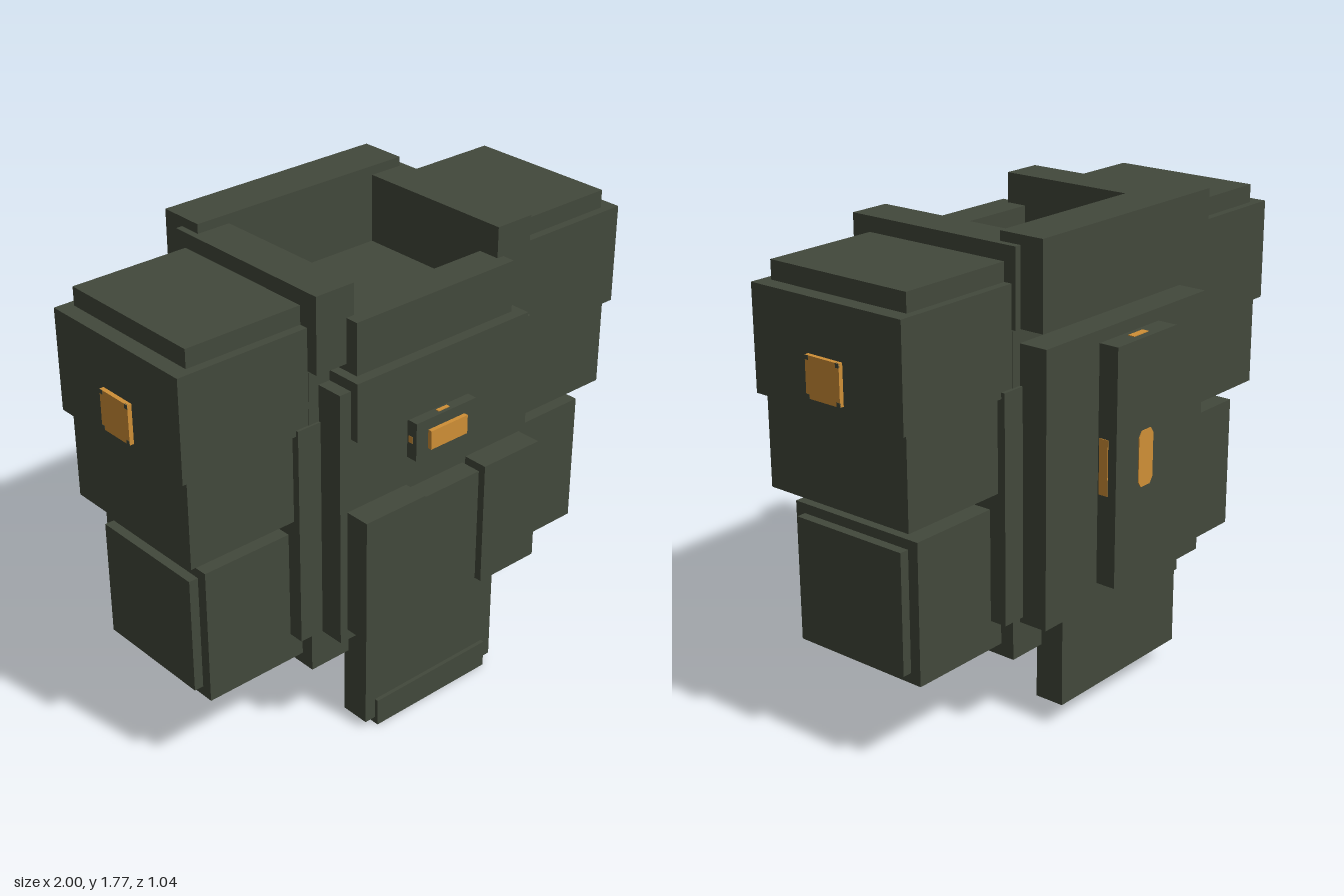
import * as THREE from 'three';

export function createModel() {
  const model = new THREE.Group();
  model.name = 'paddedSuit';

  const cloth = new THREE.MeshStandardMaterial({ color: 0x42483b });
  cloth.name = 'darkOliveCloth';
  const amber = new THREE.MeshStandardMaterial({ color: 0xcf8f36 });
  amber.name = 'amberPanel';

  // Box given by its extents along each axis
  function box(name, [x0, x1], [y0, y1], [z0, z1], material = cloth) {
    const mesh = new THREE.Mesh(new THREE.BoxGeometry(x1 - x0, y1 - y0, z1 - z0), material);
    mesh.position.set((x0 + x1) / 2, (y0 + y1) / 2, (z0 + z1) / 2);
    mesh.name = name;
    model.add(mesh);
    return mesh;
  }

  // The same box on the left (+x) and the right
  function pair(name, [x0, x1], y, z, material) {
    box(name + 'Left', [x0, x1], y, z, material);
    box(name + 'Right', [-x1, -x0], y, z, material);
  }

  // Torso
  box('torso', [-0.477, 0.477], [0.29, 1.48], [-0.33, 0.32]);
  box('waistBand', [-0.53, 0.53], [0.44, 1.262], [-0.342, 0.328]);
  box('chestPlate', [-0.435, 0.435], [0.438, 1.395], [0.3, 0.422]);
  box('upperChestPlate', [-0.388, 0.388], [1.22, 1.432], [0.3, 0.453]);
  box('backPlate', [-0.44, 0.44], [0.418, 1.405], [-0.44, -0.3]);

  // Open collar around the neck
  pair('collarSide', [0.322, 0.478], [1.458, 1.732], [-0.345, 0.362]);
  box('collarFront', [-0.353, 0.35], [1.4, 1.62], [0.28, 0.411]);
  box('collarBack', [-0.453, 0.453], [1.458, 1.766], [-0.435, -0.26]);

  // Front pouches
  pair('sidePouch', [0.14, 0.404], [0.48, 0.95], [0.4, 0.517]);
  box('middlePouch', [-0.126, 0.126], [0.497, 0.932], [0.4, 0.502]);

  // Chest buckle with its light
  box('buckle', [-0.138, 0.136], [1.058, 1.2], [0.4, 0.466]);
  box('buckleLight', [-0.085, 0.083], [1.09, 1.16], [0.466, 0.482], amber);
  pair('buckleSideLight', [0.13, 0.139], [1.118, 1.143], [0.428, 0.446], amber);
  box('buckleTopLight', [-0.025, 0.025], [1.195, 1.203], [0.438, 0.452], amber);

  // Back pack with lights on every exposed face
  box('backPack', [-0.164, 0.164], [0.497, 1.36], [-0.516, -0.42]);
  const oval = new THREE.Shape([
    [-0.04, 0.85], [-0.025, 0.828], [0.025, 0.828], [0.04, 0.85],
    [0.04, 1.01], [0.025, 1.032], [-0.025, 1.032], [-0.04, 1.01],
  ].map(([x, y]) => new THREE.Vector2(x, y)));
  const backLight = new THREE.Mesh(
    new THREE.ExtrudeGeometry(oval, { depth: 0.005, bevelEnabled: false }), amber);
  backLight.position.z = -0.519;
  backLight.name = 'packBackLight';
  model.add(backLight);
  pair('packSideLight', [0.16, 0.167], [0.828, 1.03], [-0.482, -0.446], amber);
  box('packTopLight', [-0.04, 0.04], [1.357, 1.363], [-0.488, -0.463], amber);
  box('packBottomLight', [-0.04, 0.04], [0.494, 0.5], [-0.488, -0.463], amber);

  // Hanging flaps
  box('frontFlap', [-0.31, 0.31], [0.025, 0.44], [0.3, 0.412]);
  box('frontFlapHem', [-0.266, 0.266], [0, 0.105], [0.317, 0.427]);
  box('backFlap', [-0.327, 0.327], [0.085, 0.43], [-0.422, -0.31]);

  // Sleeves: shoulder, upper arm and forearm with padding
  pair('shoulder', [0.47, 0.983], [1.24, 1.61], [-0.328, 0.318]);
  pair('shoulderPad', [0.47, 0.926], [1.6, 1.677], [-0.298, 0.286]);
  pair('upperArm', [0.47, 0.955], [0.91, 1.245], [-0.312, 0.3]);
  pair('forearm', [0.47, 0.88], [0.335, 0.845], [-0.277, 0.27]);
  pair('forearmPad', [0.87, 0.915], [0.373, 0.81], [-0.236, 0.23]);

  // Shoulder lights with dark corners
  pair('shoulderLight', [0.98, 0.999], [1.282, 1.425], [-0.077, 0.071], amber);
  for (const y of [1.282, 1.41])
    for (const z of [-0.077, 0.056])
      pair('shoulderLightCorner', [0.994, 1], [y, y + 0.015], [z, z + 0.015]);

  return model;
}
